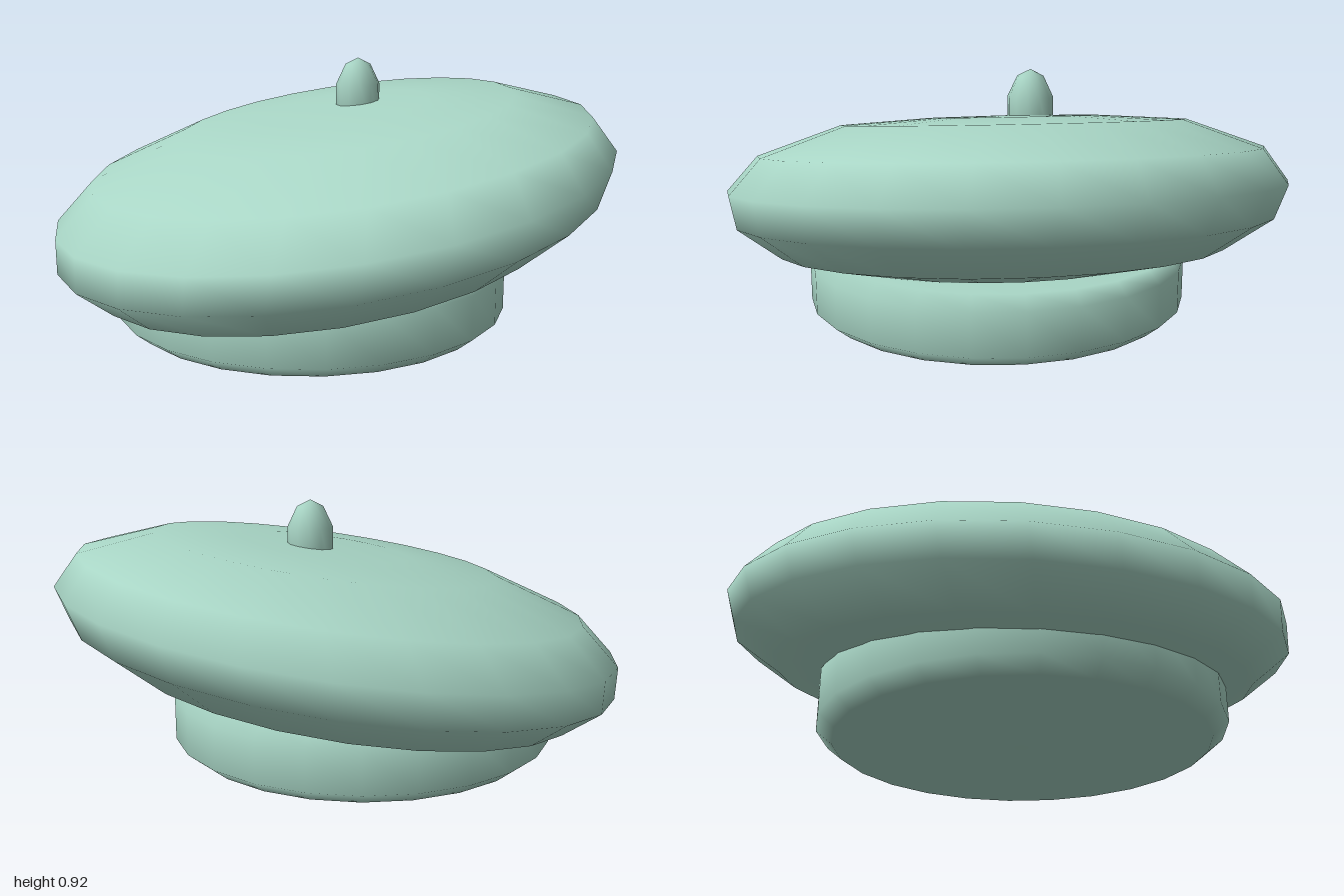
import * as THREE from 'three';
import { mergeVertices } from 'three/addons/utils/BufferGeometryUtils.js';

// Smooth turned solid; an optional rule moves each vertex before the normals are made.
function turned(profile, sides, rule) {
  const lathe = new THREE.LatheGeometry(profile.map(([r, y]) => new THREE.Vector2(r, y)), sides);
  lathe.deleteAttribute('normal');
  lathe.deleteAttribute('uv');
  if (rule) {
    const pos = lathe.attributes.position;
    const v = new THREE.Vector3();
    for (let i = 0; i < pos.count; i++) {
      rule(v.fromBufferAttribute(pos, i));
      pos.setXYZ(i, v.x, v.y, v.z);
    }
  }
  const geometry = mergeVertices(lathe, 1e-4);
  geometry.computeVertexNormals();
  return geometry;
}

export function createModel() {
  const group = new THREE.Group();
  const felt = new THREE.MeshStandardMaterial({ color: 0xa8d5c5 });
  felt.name = 'mint felt';

  const add = (name, geometry, x = 0, z = 0) => {
    const mesh = new THREE.Mesh(geometry, felt);
    mesh.name = name;
    mesh.position.set(x, 0, z);
    group.add(mesh);
  };

  // Puffy crown, slumped to one side: rings slope and drift sideways with height
  const crown = [
    [0, 0.15], [0.55, 0.18], [0.825, 0.245], [0.975, 0.365], [1, 0.488],
    [0.895, 0.615], [0.61, 0.72], [0.3, 0.74], [0, 0.745],
  ];
  add('crown', turned(crown, 24, (v) => {
    const drift = 0.21 * (v.y - 0.488);
    v.y += 0.142 * v.x + 0.04 * v.z;
    v.x += drift;
  }));

  // Head band with softened edges
  const band = [[0, 0], [0.645, 0], [0.7, 0.045], [0.7, 0.2], [0.655, 0.245], [0, 0.245]];
  add('headBand', turned(band, 24), -0.1);

  // Small stalk on top
  const stalk = [[0, 0.68], [0.08, 0.68], [0.08, 0.82], [0.046, 0.892], [0, 0.915]];
  add('stalk', turned(stalk, 12), 0.13, -0.03);

  return group;
}
